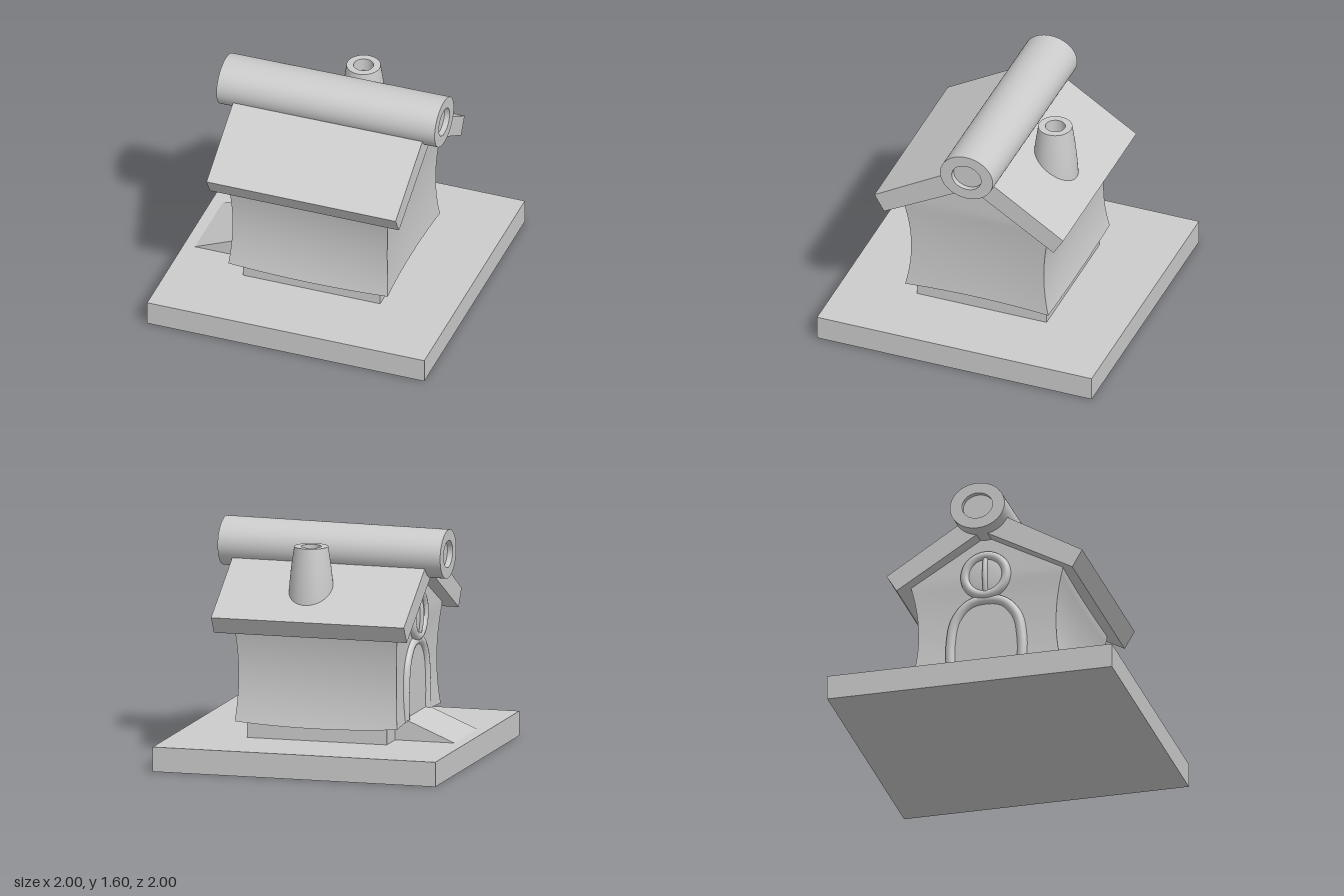
import * as THREE from 'three';
import { toCreasedNormals } from 'three/addons/utils/BufferGeometryUtils.js';

const material = new THREE.MeshStandardMaterial({ color: 0xcccccc });

export function createModel() {
  const house = new THREE.Group();
  house.name = 'cottage';

  const add = (name, geometry, x = 0, y = 0, z = 0, parent = house) => {
    const mesh = new THREE.Mesh(geometry, material);
    mesh.name = name;
    mesh.position.set(x, y, z);
    parent.add(mesh);
    return mesh;
  };
  const polygon = (pts) => new THREE.Shape(pts.map(([a, b]) => new THREE.Vector2(a, b)));
  const lathe = (pts) => toCreasedNormals(
    new THREE.LatheGeometry(pts.map(([r, y]) => new THREE.Vector2(r, y)), 64), 0.6);
  // Extrudes a (z, y) outline along x, centred on x = 0
  const extrudeX = (shape, width, curveSegments = 12) => {
    const g = new THREE.ExtrudeGeometry(shape, { depth: width, bevelEnabled: false, curveSegments });
    return g.translate(0, 0, -width / 2).rotateY(-Math.PI / 2);
  };

  // Ground slab and foundation
  add('groundSlab', new THREE.BoxGeometry(2, 0.17, 2), 0, 0.085, 0);
  add('foundation', new THREE.BoxGeometry(0.99, 0.2, 0.945), -0.005, 0.25, 0);

  // Pinched walls with gabled top: a box bent by rule
  const walls = new THREE.BoxGeometry(2, 1, 2, 20, 24, 20);
  const p = walls.attributes.position;
  for (let i = 0; i < p.count; i++) {
    const u = p.getX(i), v = p.getY(i) + 0.5, w = p.getZ(i);
    const top = 1.3 - 0.31 * Math.abs(w);
    const bottom = 0.285 - 0.025 * (1 - u * u) * w * w + 0.01 * (1 - w * w);
    const y = bottom + v * (top - bottom);
    const flare = ((Math.min(y, 0.97) - 0.6) / 0.35) ** 2;
    const halfX = 0.558 + 0.02 * flare - 0.012 * (1 - w * w);
    const halfZ = 0.483 + 0.047 * flare - 0.012 * (1 - u * u);
    p.setXYZ(i, u * halfX - 0.01, y, w * halfZ + 0.008);
  }
  walls.computeVertexNormals();
  add('walls', walls);

  // Two roof slabs
  add('frontRoof', extrudeX(polygon([[0, 1.28], [0.635, 0.935], [0.705, 1.055], [0, 1.464]]), 1.365), 0.003);
  add('backRoof', extrudeX(polygon([[0, 1.28], [0, 1.45], [-0.67, 1.02], [-0.6, 0.905]]), 1.365), 0.003);

  // Ridge log with a recessed disc in each end
  const ridge = lathe([
    [0, -0.75], [0.107, -0.75], [0.107, -0.7875], [0.192, -0.7875],
    [0.192, 0.7875], [0.107, 0.7875], [0.107, 0.75], [0, 0.75],
  ]);
  ridge.rotateZ(-Math.PI / 2).scale(1, 0.87, 1);
  add('ridgeLog', ridge, -0.007, 1.427, -0.002).rotation.z = 0.0095;

  // Tapering chimney pot
  add('chimney', lathe([
    [0.16, 1.02], [0.157, 1.12], [0.15, 1.22], [0.138, 1.34], [0.116, 1.493],
    [0.068, 1.493], [0.068, 1.4], [0, 1.4],
  ]), 0.065, 0, -0.37);

  // Entrance ramp
  const ramp = new THREE.ExtrudeGeometry(
    polygon([[-0.92, 0.17], [-0.48, 0.17], [-0.48, 0.345], [-0.56, 0.32]]),
    { depth: 0.545, bevelEnabled: false });
  add('ramp', ramp, 0, 0, -0.275);

  // Arched door: panel and rounded frame
  const door = new THREE.Group();
  door.name = 'door';
  house.add(door);
  const arch = new THREE.CatmullRomCurve3([
    [-0.25, 0.31], [-0.25, 0.5], [-0.215, 0.68], [-0.12, 0.79], [0, 0.815],
    [0.12, 0.79], [0.215, 0.68], [0.25, 0.5], [0.25, 0.31],
  ].map(([z, y]) => new THREE.Vector3(-0.56, y, z)));
  add('doorFrame', new THREE.TubeGeometry(arch, 48, 0.036, 12), 0, 0, 0, door);
  for (const z of [-0.25, 0.25]) {
    add('frameFoot', new THREE.CylinderGeometry(0.036, 0.036, 0.02, 12), -0.56, 0.305, z, door);
  }
  const panel = polygon(arch.getPoints(32).map((q) => [q.z, q.y]));
  add('doorPanel', extrudeX(panel, 0.05), -0.545, 0, 0, door);

  // Round gable window: ring, domed pane and a bowed glazing bar
  const gableWindow = new THREE.Group();
  gableWindow.name = 'roundWindow';
  gableWindow.position.set(-0.58, 0.99, 0);
  house.add(gableWindow);
  add('windowRing', new THREE.TorusGeometry(0.145, 0.032, 12, 48).rotateY(Math.PI / 2), 0, 0, 0, gableWindow);
  add('windowPane', new THREE.SphereGeometry(0.14, 32, 20).scale(0.14, 1, 1), 0, 0, 0, gableWindow);
  const bar = new THREE.QuadraticBezierCurve3(
    new THREE.Vector3(0, -0.145, 0), new THREE.Vector3(-0.05, 0, 0), new THREE.Vector3(0, 0.145, 0));
  add('glazingBar', new THREE.TubeGeometry(bar, 20, 0.018, 10), 0, 0, 0, gableWindow);

  return house;
}
